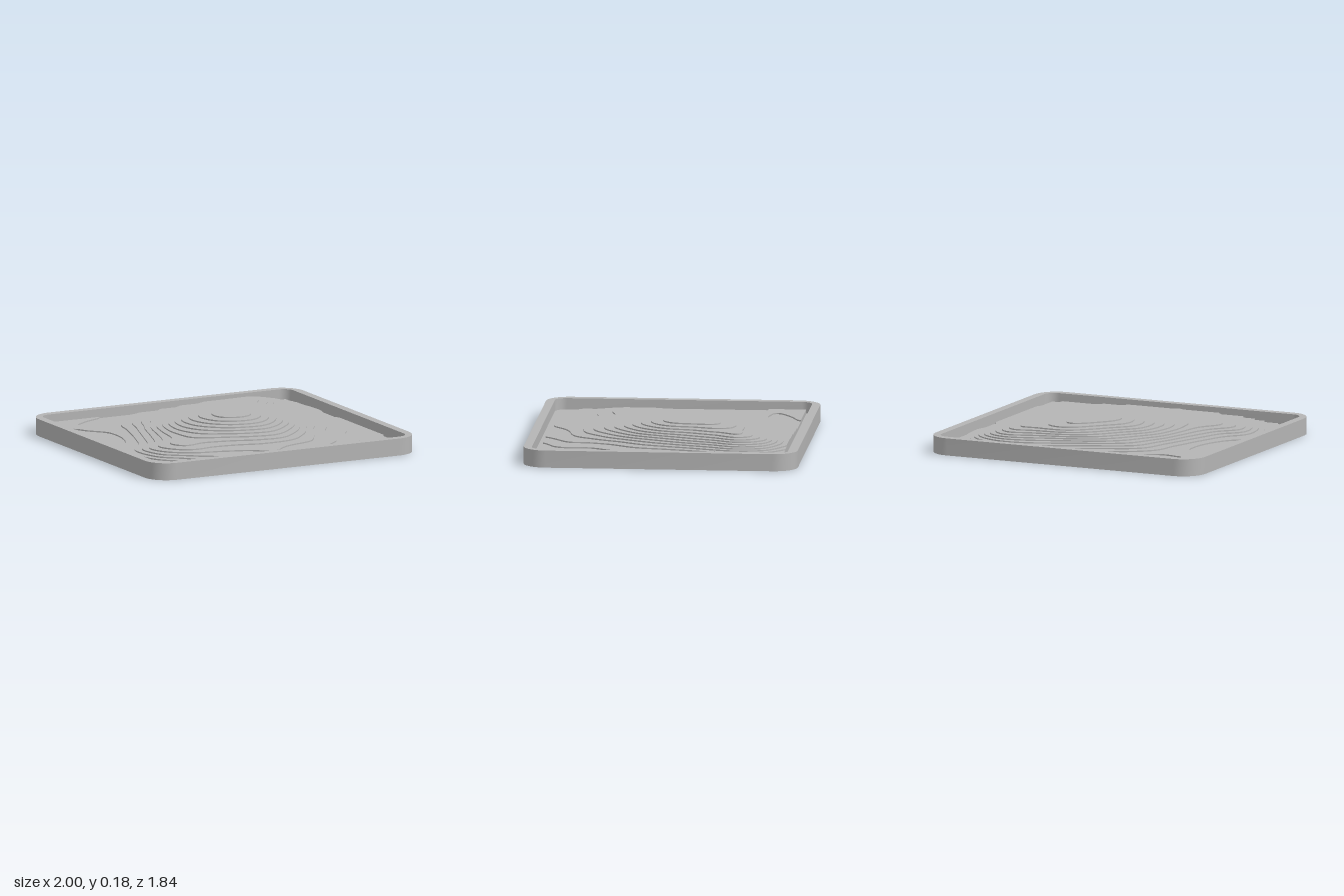
import * as THREE from 'three';
import { toCreasedNormals } from 'three/addons/utils/BufferGeometryUtils.js';

const FLOOR = 0.04, BASE = 0.046, STEP = 0.0088, RIM = 0.116;
const HX = 0.9, HZ = 0.82; // half size of the terrain plate

// Terrain height in contour steps, 11 x 11 nodes, back row first, x from - to +
const N = 11;
const HEIGHTS = [
  3.4, 3.3, 3.05, 2.8, 3.1, 4.4, 5.4, 6.3, 6.2, 4.2, 1.0,
  3.2, 2.95, 2.8, 3.75, 4.9, 6.4, 8.2, 9.7, 10.5, 7.3, 2.0,
  2.8, 3.2, 3.8, 6.0, 8.2, 11.0, 13.2, 13.2, 12.6, 8.2, 2.8,
  2.5, 2.8, 4.2, 7.4, 10.6, 13.5, 15.1, 13.9, 11.2, 6.8, 3.0,
  2.4, 2.7, 5.1, 9.4, 13.0, 15.05, 15.6, 13.2, 9.9, 5.6, 2.6,
  2.5, 3.2, 6.2, 10.1, 13.0, 15.1, 15.2, 12.6, 8.4, 4.9, 3.2,
  2.9, 4.2, 7.2, 9.6, 11.6, 13.2, 13.3, 10.9, 6.9, 4.6, 3.4,
  2.6, 6.3, 8.3, 8.7, 9.4, 10.4, 10.6, 8.5, 5.5, 4.2, 3.3,
  1.9, 5.5, 7.5, 7.3, 7.5, 8.1, 8.2, 6.6, 4.9, 3.7, 3.1,
  1.1, 3.0, 5.2, 5.9, 6.2, 6.4, 6.1, 5.7, 4.8, 3.7, 2.9,
  0.3, 1.5, 3.8, 4.9, 5.8, 5.95, 5.5, 4.9, 3.9, 3.6, 2.6,
];

const clampIndex = (i) => Math.min(N - 1, Math.max(0, i));

function cubic(a, b, c, d, t) {
  return b + 0.5 * t * (c - a + t * (2 * a - 5 * b + 4 * c - d + t * (3 * (b - c) + d - a)));
}

// Smooth height at u, v in 0..1
function heightAt(u, v) {
  const gx = u * (N - 1), gz = v * (N - 1);
  const ix = Math.min(N - 2, Math.floor(gx)), iz = Math.min(N - 2, Math.floor(gz));
  const rows = [-1, 0, 1, 2].map((r) => {
    const q = [-1, 0, 1, 2].map((c) => HEIGHTS[clampIndex(iz + r) * N + clampIndex(ix + c)]);
    return cubic(...q, gx - ix);
  });
  return Math.max(0.01, cubic(...rows, gz - iz));
}

// Keep the part of a polygon above (sign 1) or below (sign -1) a contour level
function clip(poly, level, sign) {
  const out = [];
  poly.forEach((p, i) => {
    const q = poly[(i + 1) % poly.length];
    const a = (p.h - level) * sign, b = (q.h - level) * sign;
    if (a >= 0) out.push(p);
    if ((a > 0 && b < 0) || (a < 0 && b > 0)) {
      const t = a / (a - b);
      out.push({ x: p.x + (q.x - p.x) * t, z: p.z + (q.z - p.z) * t, h: level });
    }
  });
  return out;
}

const onEdge = (p, q) =>
  (p.x === q.x && Math.abs(p.x) === HX) || (p.z === q.z && Math.abs(p.z) === HZ);

// Terraced terrain: flat steps with upright walls along each contour
function terrainGeometry() {
  const pos = [];
  const NX = 126, NZ = 116;
  const wall = (p, q, top, bottom) => pos.push(
    p.x, top, p.z, p.x, bottom, p.z, q.x, bottom, q.z,
    p.x, top, p.z, q.x, bottom, q.z, q.x, top, q.z);

  const addTriangle = (tri) => {
    const hs = tri.map((p) => p.h);
    for (let n = Math.floor(Math.min(...hs)); n <= Math.max(...hs); n++) {
      const poly = clip(clip(tri, n, 1), n + 1, -1);
      if (poly.length < 3) continue;
      const y = BASE + n * STEP;
      for (let i = 1; i < poly.length - 1; i++) {
        for (const p of [poly[0], poly[i], poly[i + 1]]) pos.push(p.x, y, p.z);
      }
      poly.forEach((p, i) => {
        const q = poly[(i + 1) % poly.length];
        if (onEdge(p, q)) wall(p, q, y, FLOOR);
        else if (p.h === n && q.h === n) wall(p, q, y, y - STEP);
      });
    }
  };

  const grid = [];
  for (let j = 0; j <= NZ; j++) {
    grid.push([]);
    for (let i = 0; i <= NX; i++) {
      const u = i / NX, v = j / NZ;
      grid[j].push({ x: HX * (2 * u - 1), z: HZ * (2 * v - 1), h: heightAt(u, v) });
    }
  }
  for (let j = 0; j < NZ; j++) {
    for (let i = 0; i < NX; i++) {
      const a = grid[j][i], b = grid[j + 1][i], c = grid[j + 1][i + 1], d = grid[j][i + 1];
      addTriangle([a, b, d]);
      addTriangle([b, c, d]);
    }
  }
  const geo = new THREE.BufferGeometry();
  geo.setAttribute('position', new THREE.Float32BufferAttribute(pos, 3));
  geo.computeVertexNormals();
  return geo;
}

// Rounded rectangle loop, counter-clockwise from above
function roundedLoop(hx, hz, r, y) {
  const pts = [], seg = 10;
  [[1, -1], [-1, -1], [-1, 1], [1, 1]].forEach(([sx, sz], k) => {
    for (let i = 0; i <= seg; i++) {
      const a = (k + i / seg) * Math.PI / 2;
      pts.push(new THREE.Vector3(
        sx * (hx - r) + r * Math.cos(a), y, sz * (hz - r) - r * Math.sin(a)));
    }
  });
  return pts;
}

// Tray: loops run from the underside, over the rim, down to the floor
function trayGeometry() {
  const loops = [
    roundedLoop(0, 0, 0, 0),
    roundedLoop(1, 0.92, 0.16, 0),
    roundedLoop(1, 0.92, 0.16, RIM),
    roundedLoop(0.943, 0.863, 0.075, RIM),
    roundedLoop(0.943, 0.863, 0.075, FLOOR),
    roundedLoop(0, 0, 0, FLOOR),
  ];
  const pos = [];
  const tri = (a, b, c) => {
    if (new THREE.Triangle(a, b, c).getArea() < 1e-9) return;
    for (const p of [a, b, c]) pos.push(p.x, p.y, p.z);
  };
  for (let k = 0; k < loops.length - 1; k++) {
    const lo = loops[k], hi = loops[k + 1];
    lo.forEach((p, i) => {
      const j = (i + 1) % lo.length;
      tri(p, lo[j], hi[j]);
      tri(p, hi[j], hi[i]);
    });
  }
  const geo = new THREE.BufferGeometry();
  geo.setAttribute('position', new THREE.Float32BufferAttribute(pos, 3));
  return toCreasedNormals(geo, 0.5);
}

export function createModel() {
  const group = new THREE.Group();
  group.name = 'contourTray';
  const grey = new THREE.MeshStandardMaterial({ color: 0xb4b4b4 });
  grey.name = 'grey';

  const add = (name, geometry) => {
    const mesh = new THREE.Mesh(geometry, grey);
    mesh.name = name;
    group.add(mesh);
  };
  add('tray', trayGeometry());
  add('terracedTerrain', terrainGeometry());
  return group;
}
